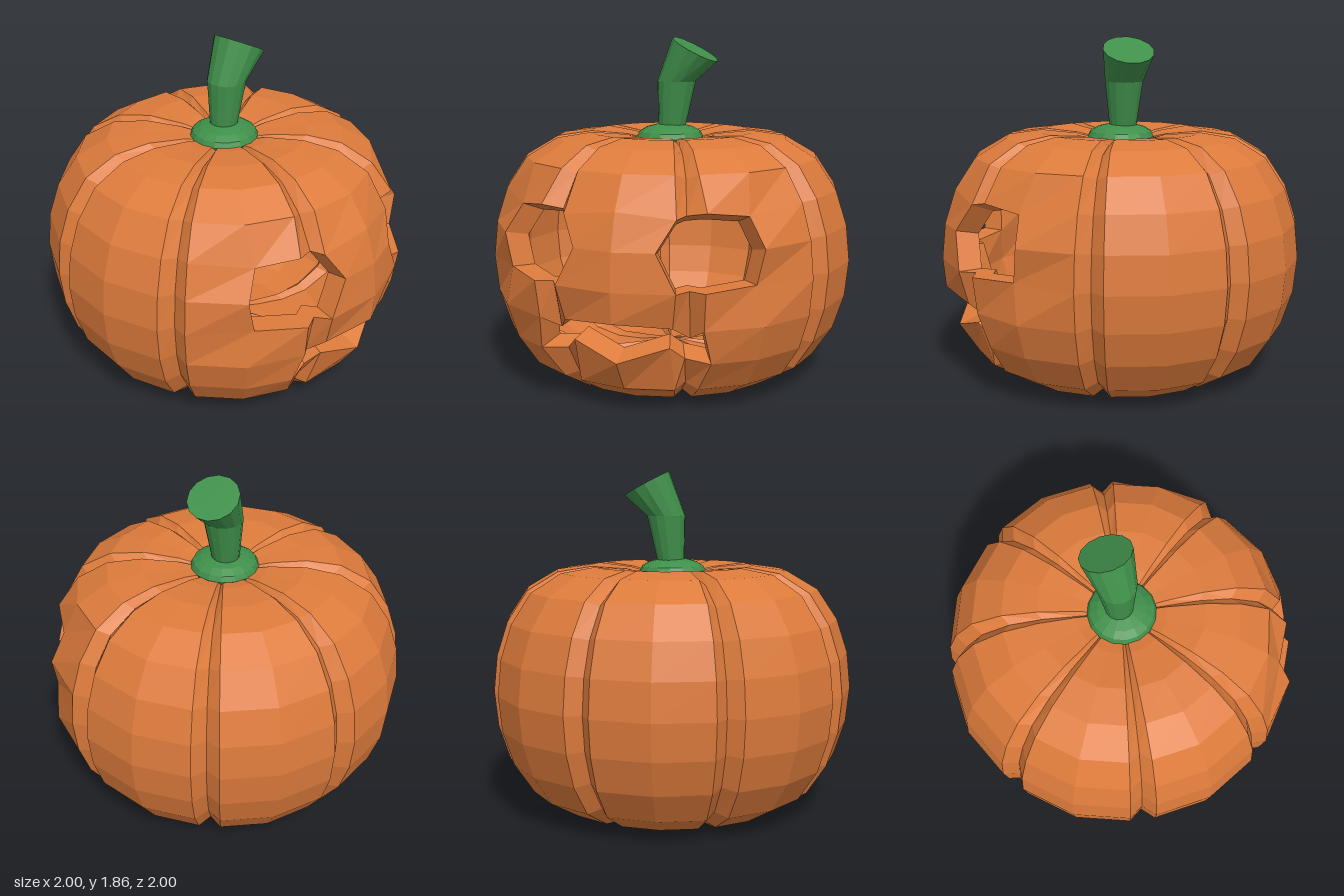
import * as THREE from 'three';

const MID = 0.675; // height of the widest ring
const COLS = 32; // 8 lobes x (centre, edge, groove, edge)
const INNER = 0.87; // inner wall scale
// Lower half of the lobe profile: radius, distance from the widest ring
const HALF = [[0, 0.6], [0.25, 0.655], [0.45, 0.672], [0.64, 0.645], [0.81, 0.545], [0.92, 0.38], [0.98, 0.195], [1, 0]];
const LOBE = [[0, 1, 1], [18.3, 0.988, 1], [22.5, 0.925, 0.955], [26.7, 0.988, 1]]; // angle, radius and height factors

// Carved corners of the left half, keyed by row and column
const CARVED = {
  '8,1': [0.21, 0.87, 0.94], '9,1': [0.29, 1.02, 0.86], '9,2': [0.32, 1.03, 0.79],
  '9,3': [0.43, 1.05, 0.81], '9,4': [0.6, 1.02, 0.66], '8,4': [0.69, 0.87, 0.695], '7,4': [0.65, 0.69, 0.7],
  '6,0': [0, 0.515, 0.985], '6,1': [0.28, 0.49, 0.89], '6,2': [0.34, 0.42, 0.79], '6,3': [0.43, 0.48, 0.86],
  '5,1': [0.25, 0.375, 0.84], '5,2': [0.31, 0.31, 0.78], '5,3': [0.45, 0.3, 0.8],
};

function pumpkinPoint(row, col) {
  col = (col + COLS) % COLS;
  const mirrored = col > COLS / 2;
  const carved = CARVED[`${row},${mirrored ? COLS - col : col}`];
  if (carved) return new THREE.Vector3(mirrored ? -carved[0] : carved[0], carved[1], carved[2]);
  const [r, h] = HALF[row < 8 ? row : 14 - row];
  const [deg, fr, fh] = LOBE[col % 4];
  const a = THREE.MathUtils.degToRad(Math.floor(col / 4) * 45 + deg);
  const y = h * (r > 0 ? fh : 1) * (row < 7 ? -1 : 1);
  return new THREE.Vector3(Math.sin(a) * r * fr, MID + y, Math.cos(a) * r * fr);
}

function isHole(row, col) {
  col = (col + COLS) % COLS;
  const c = col >= COLS / 2 ? COLS - 1 - col : col;
  const eye = (row === 7 || row === 8) && c >= 1 && c <= 3;
  const mouth = row === 5 && c <= 2;
  return eye || mouth;
}

function meshFromQuads(quads, color, name) {
  const pos = [];
  for (const [a, b, c, d] of quads) {
    for (const [p, q, r] of [[a, b, c], [a, c, d]]) {
      if (p.distanceTo(q) < 1e-6 || q.distanceTo(r) < 1e-6 || r.distanceTo(p) < 1e-6) continue;
      for (const v of [p, q, r]) pos.push(v.x, v.y, v.z);
    }
  }
  const geometry = new THREE.BufferGeometry();
  geometry.setAttribute('position', new THREE.Float32BufferAttribute(pos, 3));
  geometry.computeVertexNormals();
  const mesh = new THREE.Mesh(geometry, new THREE.MeshStandardMaterial({ color, flatShading: true }));
  mesh.name = name;
  return mesh;
}

const inward = (p) => new THREE.Vector3(p.x * INNER, MID + (p.y - MID) * INNER, p.z * INNER);

export function createModel() {
  const ORANGE = 0xdd7b3c, GREEN = 0x3f8f4a;
  const group = new THREE.Group();
  group.name = 'carvedPumpkin';

  // Ribbed skin, hollow inside, and the cut thickness round eyes and mouth
  const skin = [], inside = [], rims = [];
  for (let row = 0; row < 14; row++) {
    for (let col = 0; col < COLS; col++) {
      if (isHole(row, col)) continue;
      const q = [[row, col], [row, col + 1], [row + 1, col + 1], [row + 1, col]].map(([r, c]) => pumpkinPoint(r, c));
      skin.push(q);
      inside.push(q.map(inward).reverse());
      [[row - 1, col], [row, col + 1], [row + 1, col], [row, col - 1]].forEach(([r, c], k) => {
        if (!isHole(r, c)) return;
        const p = q[k], n = q[(k + 1) % 4];
        rims.push([p, inward(p), inward(n), n]);
      });
    }
  }
  group.add(
    meshFromQuads(skin, ORANGE, 'pumpkinSkin'),
    meshFromQuads(inside, ORANGE, 'pumpkinInside'),
    meshFromQuads(rims, ORANGE, 'carvedEdges'),
  );

  // Flattened button under the stem
  const base = new THREE.Mesh(
    new THREE.SphereGeometry(0.185, 16, 8),
    new THREE.MeshStandardMaterial({ color: GREEN, flatShading: true }),
  );
  base.name = 'stemBase';
  base.scale.y = 0.4;
  base.position.set(-0.01, 1.315, 0);
  group.add(base);

  // Bent stem: rings of centre x, centre y, radius, tilt
  const SIDES = 14;
  const rings = [[-0.005, 1.33, 0.07, 0], [0.025, 1.62, 0.106, 0], [0.132, 1.795, 0.14, -0.49]].map(([x, y, r, t]) =>
    Array.from({ length: SIDES }, (_, i) => {
      const a = (i / SIDES) * Math.PI * 2, s = Math.sin(a) * r;
      return new THREE.Vector3(x + s * Math.cos(t), y + s * Math.sin(t), Math.cos(a) * r - 0.01);
    }));
  const stem = [];
  const tip = new THREE.Vector3(0.132, 1.795, -0.01);
  for (let i = 0; i < SIDES; i++) {
    const j = (i + 1) % SIDES;
    for (let k = 0; k < 2; k++) stem.push([rings[k][i], rings[k][j], rings[k + 1][j], rings[k + 1][i]]);
    stem.push([rings[2][i], rings[2][j], tip, tip]);
  }
  group.add(meshFromQuads(stem, GREEN, 'stem'));
  return group;
}
